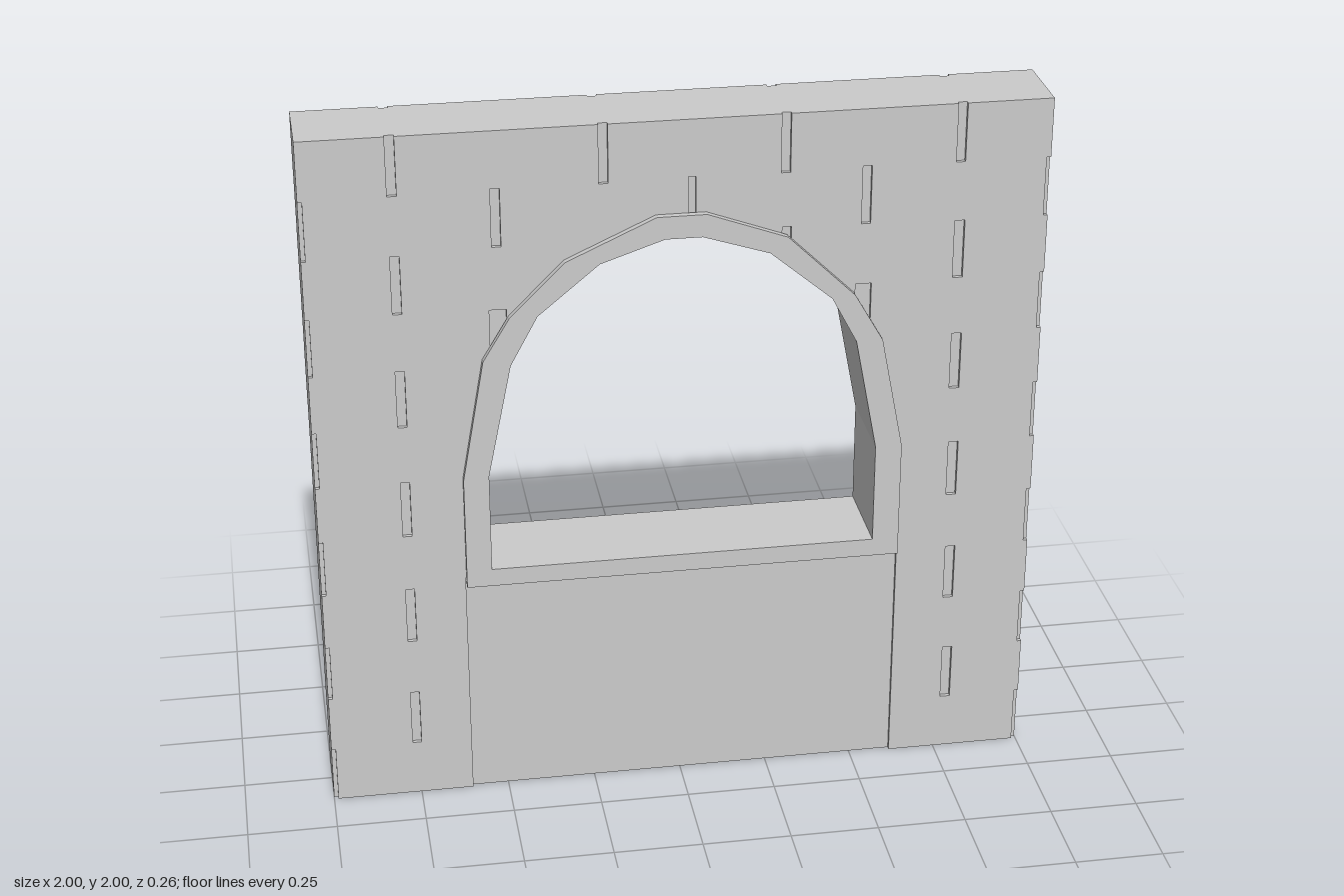
import * as THREE from 'three';

const CORE = 0.1, FACE = 0.111, RIM = 0.13; // half depths
const ROW = 1 / 6;                          // height of one brick course
const NOTCH = 0.012;

const inner = [
  [-0.53, 0.72], [0.543, 0.72], [0.543, 1.01], [0.48, 1.337], [0.41, 1.47], [0.238, 1.615],
  [0.056, 1.674], [-0.045, 1.674], [-0.22, 1.615], [-0.388, 1.476], [-0.463, 1.337], [-0.53, 1.01],
];
const outer = [
  [-0.6, 0.668], [0.617, 0.668], [0.617, 1.01], [0.553, 1.337], [0.473, 1.476], [0.286, 1.658],
  [0.067, 1.738], [-0.067, 1.738], [-0.313, 1.626], [-0.463, 1.476], [-0.537, 1.353], [-0.6, 1.0],
];

const vectors = (pts) => pts.map(([x, y]) => new THREE.Vector2(x, y));

function shapeOf(contour, holes) {
  const shape = new THREE.Shape(vectors(contour));
  shape.holes = holes.map((h) => new THREE.Path(vectors(h)));
  return shape;
}

const rect = (x, y0, y1, w = 0.025) => [
  [x - w / 2, y0], [x + w / 2, y0], [x + w / 2, y1], [x - w / 2, y1],
];

// Outline of a brick face: toothed sides, slots in the top, cut-out for the lower panel
function faceOutline() {
  const pts = [];
  const inset = (k) => (k % 2 === 0 ? NOTCH : 0);
  for (let k = 0; k < 12; k++) {
    pts.push([1 - inset(k), k * ROW], [1 - inset(k), (k + 1) * ROW]);
  }
  for (const x of [0.753, 0.28, -0.205, -0.757]) {
    pts.push([x + 0.0125, 2], [x + 0.0125, 1.835], [x - 0.0125, 1.835], [x - 0.0125, 2]);
  }
  for (let k = 11; k >= 0; k--) {
    pts.push([-1 + inset(k), (k + 1) * ROW], [-1 + inset(k), k * ROW]);
  }
  pts.push([-0.602, 0], [-0.602, 0.69], [0.618, 0.69], [0.618, 0]);
  return pts;
}

// Upright mortar joints between the bricks
function joints() {
  const holes = [];
  for (let k = 1; k < 11; k += 2) {
    holes.push(rect(-0.757, k * ROW, (k + 1) * ROW));
    holes.push(rect(0.783 - k * 0.0028, k * ROW, (k + 1) * ROW, 0.028));
  }
  holes.push(rect(-0.49, 1.675, 1.84), rect(0.5, 1.675, 1.84), rect(0.03, 1.7, 1.84, 0.02));
  // short joints running in behind the arch
  holes.push(rect(-0.491, 1.385, 1.495, 0.046), rect(0.498, 1.385, 1.5, 0.044));
  holes.push(rect(0.285, 1.63, 1.68));
  return holes;
}

export function createModel() {
  const group = new THREE.Group();
  const material = new THREE.MeshStandardMaterial({ color: 0xcccccc, flatShading: true });

  function slab(name, shape, z0, z1) {
    const geometry = new THREE.ExtrudeGeometry(shape, { depth: z1 - z0, bevelEnabled: false });
    geometry.translate(0, 0, z0);
    const mesh = new THREE.Mesh(geometry, material);
    mesh.name = name;
    group.add(mesh);
  }

  // Wall core, which also forms the recessed panel under the window
  slab('wallCore', shapeOf([[-1, 0], [1, 0], [1, 2], [-1, 2]], [inner]), -CORE, CORE);

  // Brick faces on both sides
  const face = shapeOf(faceOutline(), [inner, ...joints()]);
  slab('frontBrickFace', face, CORE, FACE);
  slab('backBrickFace', face, -FACE, -CORE);

  // Raised window surrounds; the back one is slightly larger
  const backOuter = outer.map(([x, y]) => [x * 1.012, y > 0.7 ? 0.668 + (y - 0.668) * 1.018 : y]);
  slab('frontWindowFrame', shapeOf(outer, [inner]), FACE, RIM);
  slab('backWindowFrame', shapeOf(backOuter, [inner]), -RIM, -FACE);

  return group;
}
